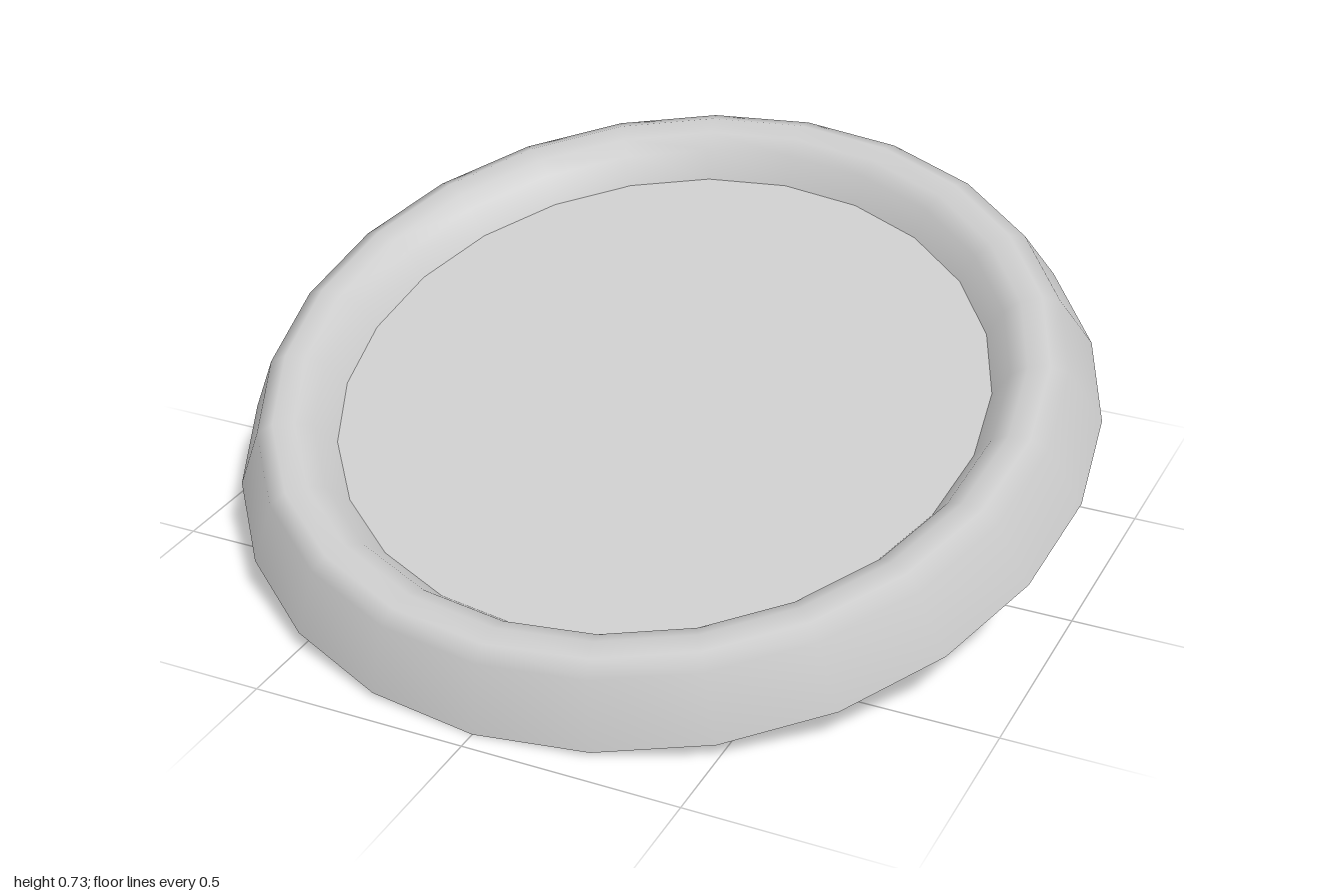
import * as THREE from 'three';

const SEGMENTS = 24;
const TILT = 0.305;
const FLOOR_RADIUS = 0.757;
const FLOOR_HEIGHT = 0.08;

export function createModel() {
  const group = new THREE.Group();
  const material = new THREE.MeshStandardMaterial({ color: 0xcccccc, side: THREE.DoubleSide });

  // Tilted dish, resting on its front edge
  const dish = new THREE.Group();
  dish.name = 'dish';
  dish.rotation.x = TILT;
  dish.position.y = Math.sin(TILT);
  group.add(dish);

  // Rolled rim: thin shell from the outer foot over the crest to the floor
  const profile = [
    [1, 0],
    [0.93, 0.147],
    [0.89, 0.167],
    [0.84, 0.163],
    [0.8, 0.14],
    [FLOOR_RADIUS, FLOOR_HEIGHT],
  ].map(([r, y]) => new THREE.Vector2(r, y));
  const rim = new THREE.Mesh(new THREE.LatheGeometry(profile, SEGMENTS), material);
  rim.name = 'rim';
  dish.add(rim);

  // Flat floor disc, open to view from both sides
  const floor = new THREE.Mesh(new THREE.CircleGeometry(FLOOR_RADIUS, SEGMENTS), material);
  floor.name = 'floor';
  floor.rotation.x = -Math.PI / 2;
  floor.position.y = FLOOR_HEIGHT;
  dish.add(floor);

  return group;
}
